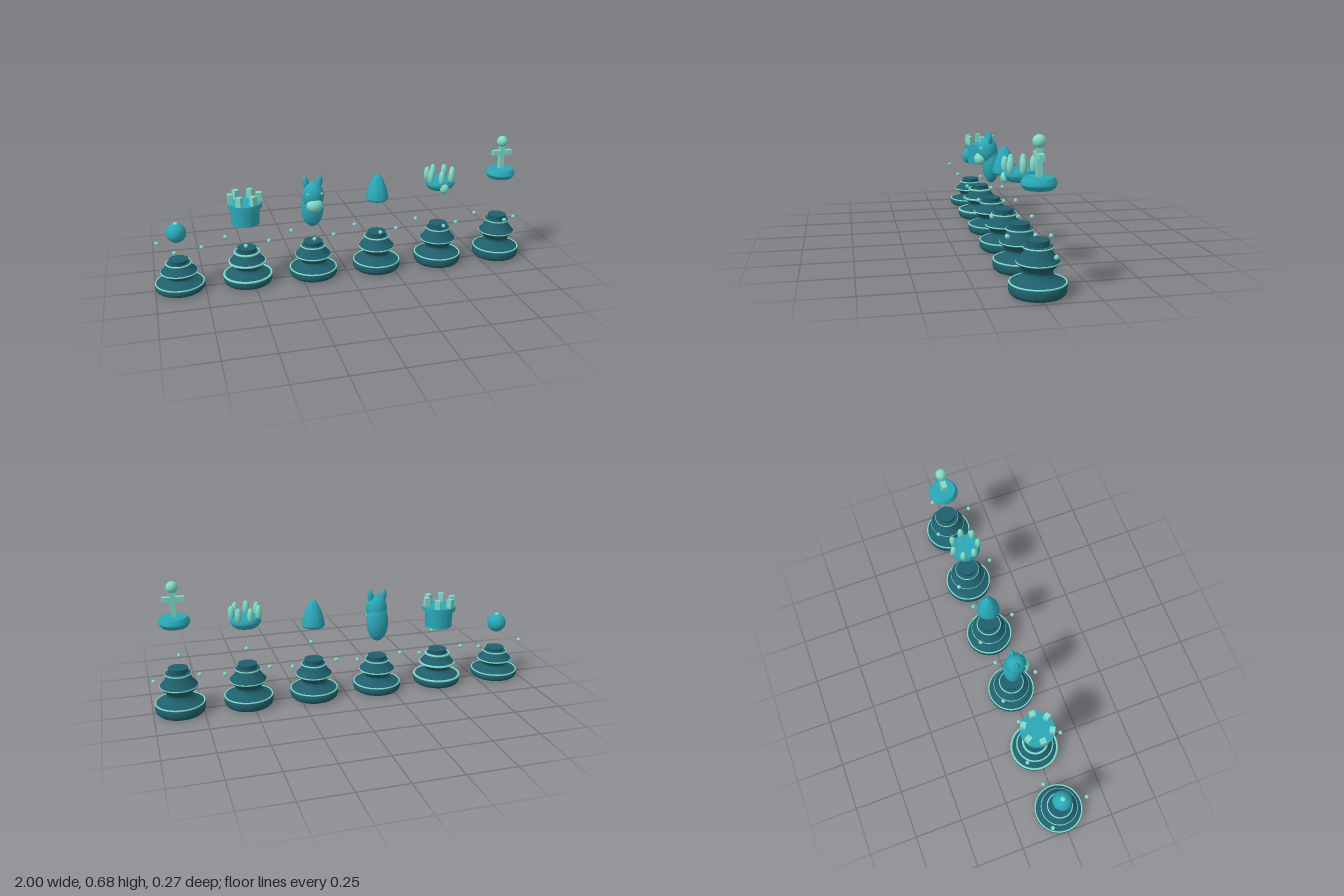
import * as THREE from 'three';
import { toCreasedNormals } from 'three/addons/utils/BufferGeometryUtils.js';

const mat = (color) => new THREE.MeshStandardMaterial({ color });
const dark = mat(0x1f5f6c), teal = mat(0x2aa8b8), light = mat(0x7fdccb);

function add(parent, name, geometry, material, x = 0, y = 0, z = 0) {
  const mesh = new THREE.Mesh(geometry, material);
  mesh.name = name;
  mesh.position.set(x, y, z);
  parent.add(mesh);
  return mesh;
}

// Ellipsoid given by its centre and three radii
function blob(parent, name, material, [x, y, z], [rx, ry, rz]) {
  const g = new THREE.SphereGeometry(1, 32, 20).scale(rx, ry, rz);
  return add(parent, name, g, material, x, y, z);
}

// Turned solid with sharp rims
function turned(parent, name, material, points) {
  const g = new THREE.LatheGeometry(points.map(([r, y]) => new THREE.Vector2(r, y)), 48);
  return add(parent, name, toCreasedNormals(g, 0.6), material);
}

// Hourglass pedestal; all heights scale with h
function pedestal(parent, h, tube) {
  const waist = new THREE.CatmullRomCurve3([
    [0.118, 0.235], [0.083, 0.31], [0.064, 0.40], [0.069, 0.47], [0.094, 0.585],
  ].map(([r, y]) => new THREE.Vector3(r, y, 0))).getPoints(16).map((p) => [p.x, p.y]);
  const profile = [
    [0, 0], [0.113, 0], [0.122, 0.04], [0.126, 0.09], [0.126, 0.18], [0.122, 0.225],
    ...waist,
    [0.094, 0.615], [0.078, 0.69], [0.064, 0.78], [0.056, 0.84], [0.064, 0.85], [0.064, 0.885],
    [0.047, 0.89], [0.049, 1], [0, 1],
  ];
  turned(parent, 'pedestal', dark, profile.map(([r, y]) => [r, y * h]));
  for (const [r, y] of [[0.122, 0.23], [0.092, 0.6], [0.063, 0.868]]) {
    const ring = new THREE.TorusGeometry(r, tube, 10, 64).rotateX(Math.PI / 2);
    add(parent, 'trimRing', ring, light, 0, y * h, 0);
  }
}

// Three little floating beads around each pedestal
function beads(parent) {
  for (const p of [[-0.099, 0.222, -0.083], [-0.019, 0.252, 0.128], [0.123, 0.193, -0.045]])
    blob(parent, 'floatingBead', light, p, [0.0105, 0.0105, 0.0105]);
}

function pawnHead(g) {
  blob(g, 'ballHead', teal, [0, 0.305, 0], [0.05, 0.05, 0.05]);
  blob(g, 'topBead', light, [0, 0.352, 0], [0.013, 0.01, 0.013]);
}

function rookHead(g) {
  turned(g, 'tower', teal, [[0, 0.322], [0.07, 0.322], [0.073, 0.41], [0.087, 0.412], [0.087, 0.436], [0, 0.436]]);
  for (let i = 0; i < 6; i++) {
    const a = (i * Math.PI) / 3;
    const box = new THREE.BoxGeometry(0.028, 0.048, 0.028);
    add(g, 'battlement', box, light, 0.072 * Math.cos(a), 0.459, 0.072 * Math.sin(a)).rotation.y = -a;
  }
}

function knightHead(g) {
  blob(g, 'neck', teal, [0, 0.375, 0], [0.058, 0.103, 0.046]);
  blob(g, 'head', teal, [0, 0.447, 0.02], [0.055, 0.073, 0.055]);
  blob(g, 'muzzle', light, [0, 0.405, 0.058], [0.043, 0.036, 0.034]);
  for (const s of [-1, 1]) {
    blob(g, 'ear', teal, [s * 0.034, 0.512, 0.012], [0.016, 0.038, 0.014]).rotation.z = -s * 0.2;
    blob(g, 'eye', light, [s * 0.036, 0.467, 0.06], [0.007, 0.007, 0.007]);
  }
}

function bishopHead(g) {
  turned(g, 'mitre', teal, [[0, 0.385], [0.053, 0.386], [0.059, 0.395], [0.058, 0.412], [0.051, 0.44],
    [0.04, 0.472], [0.026, 0.502], [0.012, 0.522], [0, 0.53]]);
}

function queenHead(g) {
  turned(g, 'crownCup', teal, [[0, 0.418], [0.055, 0.42], [0.068, 0.43], [0.078, 0.448], [0.077, 0.46], [0.07, 0.472], [0, 0.472]]);
  for (let i = 0; i < 7; i++) {
    const a = (i / 7) * Math.PI * 2;
    blob(g, 'crownPoint', light, [0.069 * Math.cos(a), 0.495, 0.069 * Math.sin(a)], [0.017, 0.039, 0.017]);
  }
  blob(g, 'frontGem', light, [0, 0.437, 0.07], [0.024, 0.027, 0.02]);
}

function kingHead(g) {
  turned(g, 'crownBand', teal, [[0, 0.453], [0.062, 0.454], [0.07, 0.463], [0.077, 0.475], [0.075, 0.488], [0.064, 0.504], [0, 0.504]]);
  add(g, 'crossPost', new THREE.BoxGeometry(0.025, 0.14, 0.025), light, 0, 0.57, 0);
  add(g, 'crossBar', new THREE.BoxGeometry(0.107, 0.025, 0.025), light, 0, 0.592, 0);
  blob(g, 'topOrb', light, [0, 0.652, 0], [0.029, 0.029, 0.029]);
}

export function createModel() {
  const model = new THREE.Group();
  model.name = 'chessPieces';
  const pieces = [
    ['pawn', 0.163, pawnHead], ['rook', 0.19, rookHead], ['knight', 0.19, knightHead],
    ['bishop', 0.208, bishopHead], ['queen', 0.222, queenHead], ['king', 0.238, kingHead],
  ];
  pieces.forEach(([name, height, head], i) => {
    const piece = new THREE.Group();
    piece.name = name;
    piece.position.set(-0.876 + i * 0.348, 0, -0.005);
    pedestal(piece, height, name === 'rook' ? 0.006 : 0.004);
    beads(piece);
    head(piece);
    model.add(piece);
  });
  return model;
}
